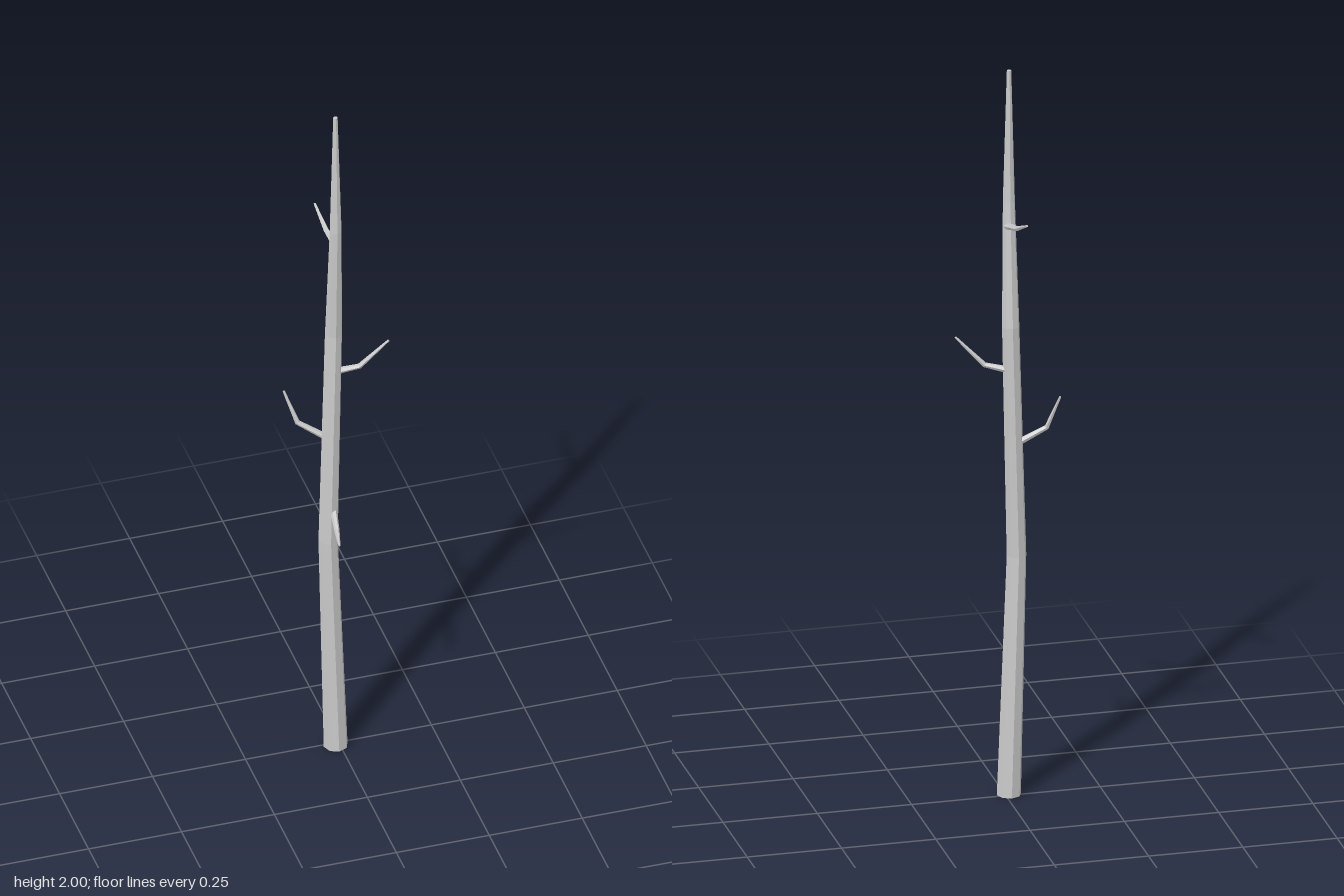
import * as THREE from 'three';

const material = new THREE.MeshStandardMaterial({ color: 0xcccccc, flatShading: true });

// Closed tapered tube through stations [x, y, z, radius]; rings face a common axis if one is given
function limb(name, stations, sides, axis) {
  const points = stations.map(s => new THREE.Vector3(s[0], s[1], s[2]));
  const n = points.length;
  const positions = [], index = [];
  points.forEach((p, i) => {
    const dir = axis || points[Math.min(i + 1, n - 1)].clone()
      .sub(points[Math.max(i - 1, 0)]).normalize();
    const ref = Math.abs(dir.y) > 0.9 ? new THREE.Vector3(0, 0, 1) : new THREE.Vector3(0, 1, 0);
    const u = new THREE.Vector3().crossVectors(ref, dir).normalize();
    const v = new THREE.Vector3().crossVectors(dir, u);
    for (let k = 0; k < sides; k++) {
      const a = (k / sides) * Math.PI * 2;
      const q = p.clone().addScaledVector(u, Math.cos(a) * stations[i][3])
        .addScaledVector(v, Math.sin(a) * stations[i][3]);
      positions.push(q.x, q.y, q.z);
    }
  });
  for (let i = 0; i < n - 1; i++) {
    for (let k = 0; k < sides; k++) {
      const a = i * sides + k, b = i * sides + (k + 1) % sides;
      index.push(a, b, b + sides, a, b + sides, a + sides);
    }
  }
  // End caps
  const last = (n - 1) * sides;
  for (let k = 1; k < sides - 1; k++) {
    index.push(0, k + 1, k, last, last + k, last + k + 1);
  }
  const geometry = new THREE.BufferGeometry();
  geometry.setAttribute('position', new THREE.Float32BufferAttribute(positions, 3));
  geometry.setIndex(index);
  const flat = geometry.toNonIndexed();
  flat.computeVertexNormals();
  const mesh = new THREE.Mesh(flat, material);
  mesh.name = name;
  return mesh;
}

export function createModel() {
  const group = new THREE.Group();
  group.name = 'bareTree';

  // Crooked trunk, tapering to a blunt tip
  group.add(limb('trunk', [
    [-0.01, 0, 0.008, 0.032],
    [-0.03, 0.66, 0.007, 0.026],
    [-0.01, 1.3, -0.011, 0.023],
    [-0.01, 1.64, 0.008, 0.016],
    [-0.01, 2, 0.006, 0.006],
  ], 8, new THREE.Vector3(0, 1, 0)));

  // Bent twigs: root inside the trunk, elbow, tip
  const twigs = {
    frontTwig: [[-0.018, 0.757, 0.015], [-0.028, 0.735, 0.077], [-0.041, 0.735, 0.14]],
    rightTwig: [[-0.03, 0.975, -0.008], [-0.1, 1.02, -0.032], [-0.13, 1.11, -0.055]],
    leftTwig: [[0, 1.18, -0.008], [0.055, 1.193, 0.006], [0.128, 1.27, 0.022]],
    backTwig: [[-0.002, 1.573, 0], [-0.012, 1.59, -0.066], [-0.02, 1.625, -0.141]],
  };
  const radii = [0.009, 0.007, 0.003];
  for (const [name, points] of Object.entries(twigs)) {
    group.add(limb(name, points.map((p, i) => [...p, radii[i]]), 6));
  }
  return group;
}
